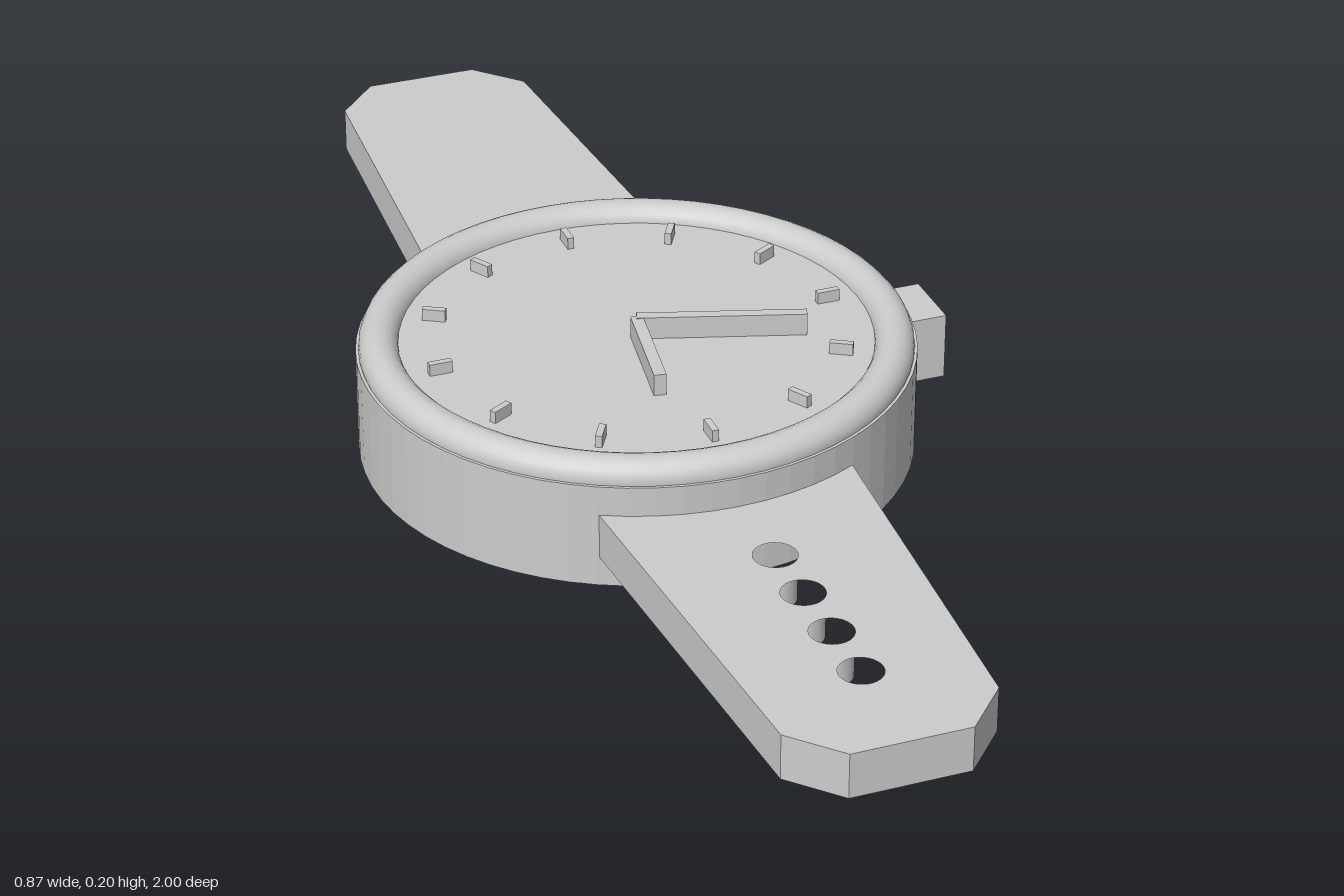
import * as THREE from 'three';

const CX = -0.03; // centre line of case and strap

export function createModel() {
  const model = new THREE.Group();
  model.name = 'wristwatch';
  const grey = new THREE.MeshStandardMaterial({ color: 0xcccccc });
  grey.name = 'light grey';

  const add = (name, geometry, x, y, z, parent = model) => {
    const mesh = new THREE.Mesh(geometry, grey);
    mesh.name = name;
    mesh.position.set(x, y, z);
    parent.add(mesh);
    return mesh;
  };

  // Case with faceted wall
  const caseGeo = new THREE.CylinderGeometry(0.403, 0.403, 0.158, 64).toNonIndexed();
  caseGeo.computeVertexNormals();
  add('case', caseGeo, CX, 0.079, 0);

  // Rounded bezel ring around the dial
  const bezelGeo = new THREE.TorusGeometry(0.37, 0.029, 20, 64).rotateX(Math.PI / 2);
  add('bezel', bezelGeo, CX, 0.161, 0);
  add('dial', new THREE.CylinderGeometry(0.344, 0.344, 0.012, 64), CX, 0.16, 0);

  // Hour markers
  const markers = new THREE.Group();
  markers.name = 'hourMarkers';
  markers.position.set(CX, 0, 0);
  model.add(markers);
  for (let i = 0; i < 12; i++) {
    const a = (i * Math.PI) / 6;
    const m = add('hourMarker', new THREE.BoxGeometry(0.01, 0.02, 0.034),
      Math.sin(a) * 0.296, 0.174, Math.cos(a) * 0.296, markers);
    m.rotation.y = a;
  }

  // Hands run from the pivot to a tip
  const hand = (name, dx, dz, width, top) => {
    const length = Math.hypot(dx, dz);
    const geo = new THREE.BoxGeometry(width, top - 0.165, length).translate(0, 0, length / 2);
    add(name, geo, CX, (top + 0.165) / 2, 0).rotation.y = Math.atan2(dx, dz);
  };
  hand('hourHand', -0.027, 0.168, 0.018, 0.199);
  hand('minuteHand', 0.233, 0.075, 0.016, 0.2);

  // Crown
  add('crown', new THREE.BoxGeometry(0.083, 0.102, 0.102), 0.3915, 0.084, 0);

  // Tapered strap halves with clipped corners; the front one is punched
  const strap = (name, side, holes) => {
    const right = [[0.19, 0.3], [0.187, 0.36], [0.151, 0.93], [0.086, 1]];
    const left = right.map(([x, z]) => [-x, z]).reverse();
    const shape = new THREE.Shape([...right, ...left].map(([x, z]) => new THREE.Vector2(x, -z * side)));
    for (const z of holes) {
      const hole = new THREE.Path();
      hole.absarc(0, -z * side, 0.031, 0, Math.PI * 2, true);
      shape.holes.push(hole);
    }
    const geo = new THREE.ExtrudeGeometry(shape, { depth: 0.068, bevelEnabled: false, curveSegments: 24 });
    add(name, geo.rotateX(-Math.PI / 2), CX, 0.045, 0);
  };
  strap('frontStrap', 1, [0.535, 0.634, 0.733, 0.832]);
  strap('backStrap', -1, []);

  return model;
}
